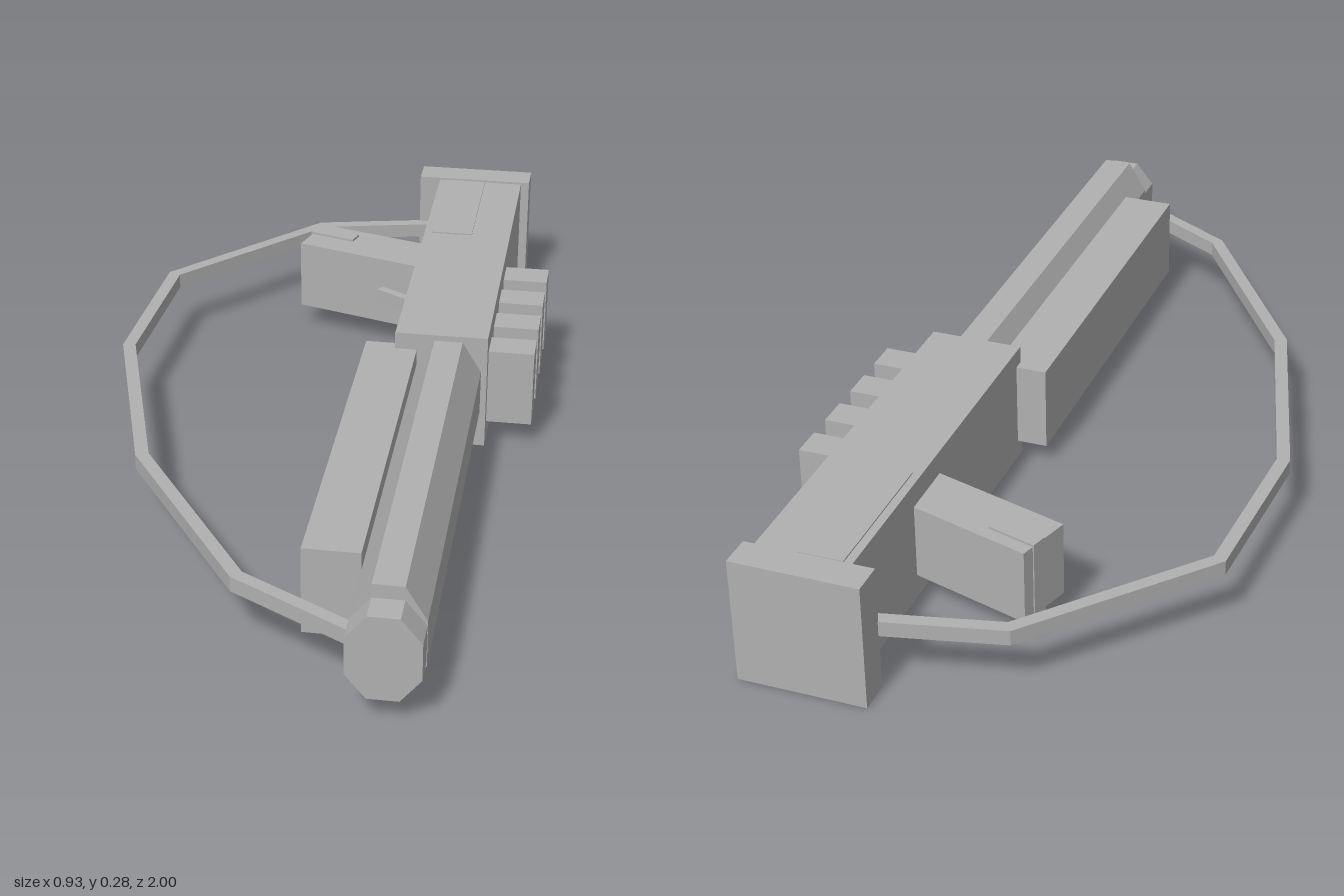
import * as THREE from 'three';

const grey = new THREE.MeshStandardMaterial({ color: 0xb0b0b0 });
grey.name = 'grey';

export function createModel() {
  const group = new THREE.Group();
  const add = (name, geometry) => {
    const mesh = new THREE.Mesh(geometry, grey);
    mesh.name = name;
    group.add(mesh);
    return mesh;
  };

  // Box given by its limits on each axis
  const box = (name, x0, x1, y0, y1, z0, z1) => {
    const mesh = add(name, new THREE.BoxGeometry(x1 - x0, y1 - y0, z1 - z0));
    mesh.position.set((x0 + x1) / 2, (y0 + y1) / 2, (z0 + z1) / 2);
    return mesh;
  };

  // Flat outline of [x, z] points, raised from y0 to y1
  const slab = (name, points, y0, y1) => {
    const shape = new THREE.Shape(points.map(([x, z]) => new THREE.Vector2(x, -z)));
    const geometry = new THREE.ExtrudeGeometry(shape, { depth: y1 - y0, bevelEnabled: false });
    geometry.rotateX(-Math.PI / 2).translate(0, y0, 0);
    return add(name, geometry);
  };

  // Eight-sided bar along z; half sizes of the outline and of its flats
  const octagonBar = (name, hx, hy, fx, fy, z0, z1) => {
    const shape = new THREE.Shape([
      [hx, -fy], [hx, fy], [fx, hy], [-fx, hy], [-hx, fy], [-hx, -fy], [-fx, -hy], [fx, -hy],
    ].map(([x, y]) => new THREE.Vector2(x, y)));
    const geometry = new THREE.ExtrudeGeometry(shape, { depth: z1 - z0, bevelEnabled: false });
    geometry.translate(0.279, 0.139, z0);
    add(name, geometry);
  };

  // Body
  box('receiver', 0.162, 0.365, 0.006, 0.27, -0.935, -0.055);
  box('receiverPanel', 0.18, 0.275, 0.003, 0.273, -0.925, -0.6);
  box('buttPlate', 0.113, 0.385, 0, 0.275, -1, -0.93);

  // Barrel, muzzle and the pump beside it
  octagonBar('barrel', 0.073, 0.118, 0.031, 0.049, -0.06, 0.937);
  octagonBar('muzzle', 0.072, 0.089, 0.031, 0.039, 0.93, 1);
  box('pump', 0.095, 0.21, 0.045, 0.232, -0.08, 0.797);

  // Row of spare shells
  for (let i = 0; i < 4; i++) {
    const z = -0.12 - i * 0.125;
    box('shell', 0.36, 0.465, 0.052, 0.225, z - 0.036, z + 0.036);
  }

  // Slanted grip with its inlay, and trigger
  slab('grip', [[-0.1, -0.72], [-0.137, -0.6], [0.18, -0.504], [0.18, -0.636]], 0.057, 0.22);
  slab('gripInlay', [[-0.111, -0.694], [-0.121, -0.661], [-0.015, -0.629], [-0.005, -0.662]], 0.052, 0.225);
  slab('trigger', [[0.073, -0.525], [0.062, -0.508], [0.165, -0.447], [0.175, -0.464]], 0.122, 0.155);

  // Angular carrying strap, widened evenly on both sides of its path
  const path = [
    [0.14, -0.925], [-0.125, -0.865], [-0.433, -0.52], [-0.454, -0.13],
    [-0.312, 0.36], [-0.032, 0.785], [0.215, 0.93],
  ].map(([x, z]) => new THREE.Vector2(x, z));
  const normal = (i) => {
    const d = path[i + 1].clone().sub(path[i]).normalize();
    return new THREE.Vector2(-d.y, d.x);
  };
  const left = [], right = [];
  path.forEach((p, i) => {
    const a = normal(Math.max(i - 1, 0));
    const b = normal(Math.min(i, path.length - 2));
    const m = a.clone().add(b).normalize();
    m.multiplyScalar(0.014 / m.dot(a));
    left.push([p.x + m.x, p.y + m.y]);
    right.unshift([p.x - m.x, p.y - m.y]);
  });
  slab('strap', [...left, ...right], 0.122, 0.155);

  return group;
}
